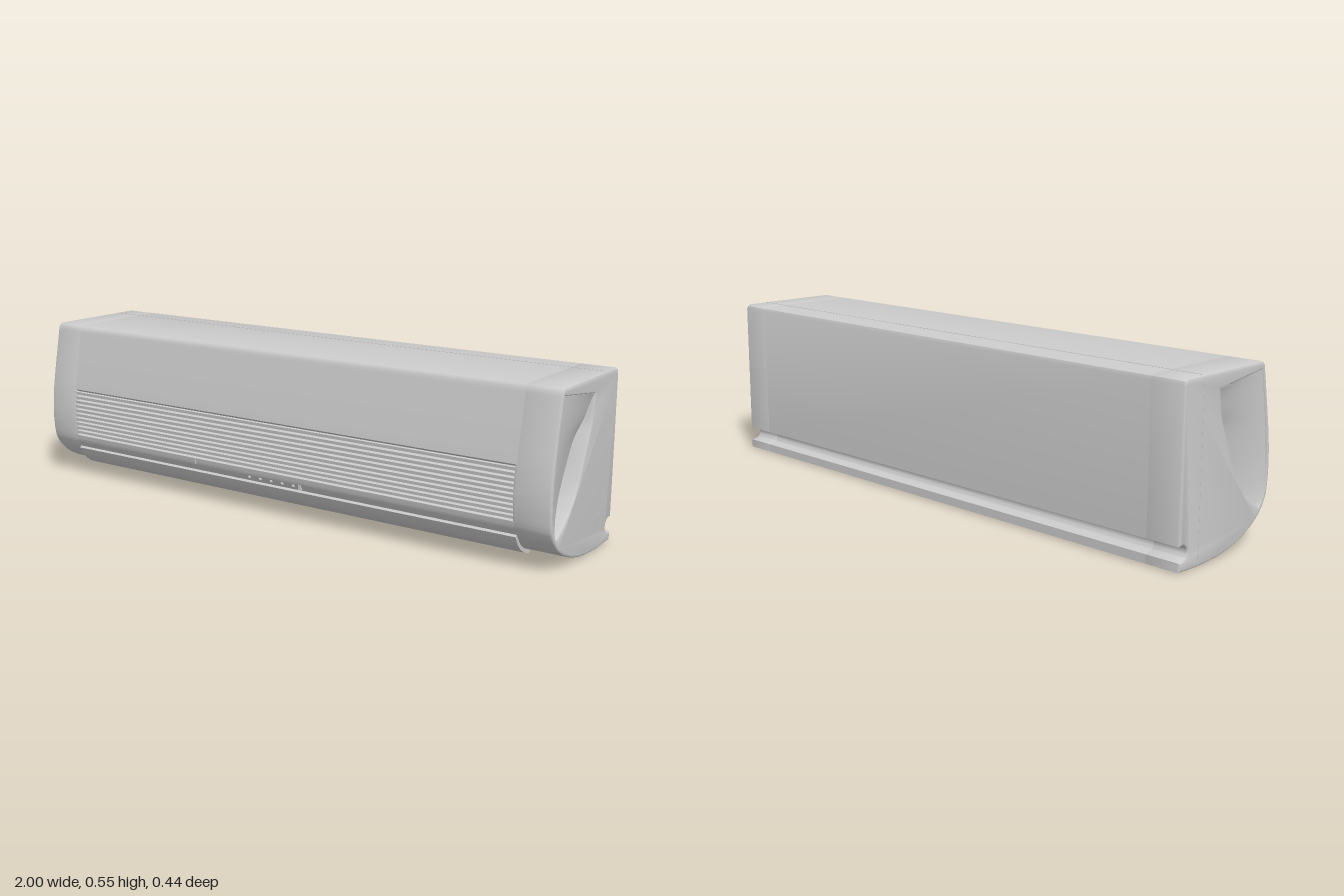
import * as THREE from 'three';
import { toCreasedNormals } from 'three/addons/utils/BufferGeometryUtils.js';

const grey = new THREE.MeshStandardMaterial({ color: 0xcccccc });
const greyDouble = new THREE.MeshStandardMaterial({ color: 0xcccccc, side: THREE.DoubleSide });

const GRILLE_X = 0.885, GRILLE_LOW = 0.16, GRILLE_HIGH = 0.32, BEVEL = 0.007;

// Profiles are lists of [z, y]; shapes use -z so that they can be turned to run along x.
const toV2 = ([z, y]) => new THREE.Vector2(-z, y);
const smooth = (pts, n) => new THREE.SplineCurve(pts.map((p) => new THREE.Vector2(...p)))
  .getPoints(n).map((v) => [v.x, v.y]);

// Front and underside, from the top edge down to the rear foot
const frontCurve = smooth([
  [0.175, 0.53], [0.2, 0.4], [0.215, 0.31], [0.221, 0.225], [0.215, 0.15], [0.2, 0.115],
  [0.182, 0.092], [0.155, 0.068], [0.11, 0.043], [0.047, 0.02], [-0.023, 0.006], [-0.09, 0.001],
], 90);

// Pipe channel along the back
const channel = [];
for (let i = 0; i <= 10; i++) {
  const a = -Math.PI / 2 + (i / 10) * Math.PI;
  channel.push([-0.206 + 0.024 * Math.cos(a), 0.057 + 0.023 * Math.sin(a)]);
}
const profile = [
  [-0.219, 0.535], [-0.215, 0.546], [-0.205, 0.552],
  [0.155, 0.552], [0.165, 0.549], [0.172, 0.542],
  ...frontCurve,
  [-0.13, 0.0], [-0.219, 0.004], [-0.219, 0.032],
  ...channel,
  [-0.219, 0.079],
];

// Depth of the front face at a given height
function frontZ(y) {
  let i = 1;
  while (i < frontCurve.length - 1 && frontCurve[i][1] > y) i++;
  const [a, b] = [frontCurve[i - 1], frontCurve[i]];
  return a[0] + (b[0] - a[0]) * (a[1] - y) / (a[1] - b[1]);
}

// Extrude a profile along x, centred on x = 0
function extrudeX(points, length, { hole, bevel = 0 } = {}) {
  const shape = new THREE.Shape(points.map(toV2));
  if (hole) shape.holes.push(new THREE.Path(hole.map(toV2)));
  const geo = new THREE.ExtrudeGeometry(shape, {
    depth: length - 2 * bevel, bevelEnabled: bevel > 0, bevelThickness: bevel,
    bevelSize: bevel, bevelOffset: -bevel, bevelSegments: 3,
  });
  geo.translate(0, 0, -(length - 2 * bevel) / 2).rotateY(Math.PI / 2);
  return toCreasedNormals(geo, 0.6);
}

function add(group, name, geo, material = grey) {
  const mesh = new THREE.Mesh(geo, material);
  mesh.name = name;
  group.add(mesh);
  return mesh;
}

// Outline of the scoop in the side: curved rear edge and front edge, both top to bottom
const STEPS = 28;
const scoopRear = smooth([[-0.05, 0.5], [-0.036, 0.42], [-0.012, 0.36], [0.036, 0.25],
  [0.08, 0.185], [0.13, 0.138], [0.175, 0.11]], STEPS);
const scoopFront = smooth([[0.16, 0.528], [0.182, 0.42], [0.198, 0.32], [0.204, 0.24],
  [0.2, 0.165], [0.183, 0.118]], STEPS);

// Scoop floor: level with the side at the front, sunk along the rear edge
function scoopFloor() {
  const pos = [], index = [], across = 6;
  for (let i = 0; i <= STEPS; i++) {
    const t = i / STEPS, [rz, ry] = scoopRear[i], [fz, fy] = scoopFront[i];
    for (let j = 0; j <= across; j++) {
      const u = -0.04 + 1.08 * j / across;
      const depth = 0.003 + 0.05 * Math.sin(Math.PI * t) * Math.max(0, u);
      pos.push(1 - depth, fy + (ry - fy) * u, fz + (rz - fz) * u);
      if (i < STEPS && j < across) {
        const a = i * (across + 1) + j, b = a + across + 1;
        index.push(a, b, a + 1, b, b + 1, a + 1);
      }
    }
  }
  const geo = new THREE.BufferGeometry();
  geo.setAttribute('position', new THREE.Float32BufferAttribute(pos, 3));
  geo.setIndex(index);
  geo.computeVertexNormals();
  return geo;
}

export function createModel() {
  const model = new THREE.Group();
  model.name = 'wallAirConditioner';

  // Middle of the casing, sunk behind the grille
  const sunk = profile.map(([z, y]) =>
    (z > 0 && y > GRILLE_LOW && y < GRILLE_HIGH ? [z - 0.014, y] : [z, y]));
  add(model, 'casing', extrudeX(sunk, 2 * GRILLE_X));

  // Rounded end caps with a scoop in each side
  const capStart = GRILLE_X - BEVEL, capLength = 1 - capStart;
  const capGeo = extrudeX(profile, capLength, {
    hole: [...scoopRear, ...[...scoopFront].reverse()], bevel: BEVEL,
  });
  const floorGeo = scoopFloor();
  for (const side of [1, -1]) {
    const name = side > 0 ? 'left' : 'right';
    add(model, name + 'EndCap', capGeo).position.x = side * (capStart + capLength / 2);
    add(model, name + 'Scoop', floorGeo, greyDouble).scale.x = side;
  }

  // Grille slats following the front face
  const grille = new THREE.Group();
  grille.name = 'grille';
  const slats = 10, pitch = (GRILLE_HIGH - GRILLE_LOW) / slats;
  const slatGeo = new THREE.BoxGeometry(2 * GRILLE_X, pitch * 0.6, 0.016);
  for (let i = 0; i < slats; i++) {
    const y = GRILLE_LOW + (i + 0.5) * pitch;
    const slat = add(grille, 'slat', slatGeo);
    slat.position.set(0, y, frontZ(y) - 0.009);
    slat.rotation.x = 0.15;
  }
  model.add(grille);

  // Curved air flap under the grille
  const flapOuter = smooth([[0.203, 0.104], [0.191, 0.082], [0.173, 0.061], [0.143, 0.041], [0.11, 0.029]], 16);
  const flapInner = flapOuter.map(([z, y]) => [z - 0.008, y + 0.008]).reverse();
  add(model, 'airFlap', extrudeX([...flapOuter, ...flapInner], 2 * GRILLE_X));

  // Indicator lights and small marks
  const lightGeo = new THREE.SphereGeometry(0.006, 12, 8);
  for (const x of [-0.09, -0.045, 0, 0.045, 0.09]) {
    add(model, 'indicatorLight', lightGeo).position.set(x, 0.124, frontZ(0.124));
  }
  add(model, 'receiver', new THREE.BoxGeometry(0.01, 0.018, 0.012)).position.set(0.117, 0.124, frontZ(0.124));
  add(model, 'catch', new THREE.BoxGeometry(0.004, 0.02, 0.004)).position.set(-0.318, 0.145, frontZ(0.145));

  // Hairline seam between front cover and back plate
  const seam = new THREE.Group();
  seam.name = 'seam';
  add(seam, 'topSeam', new THREE.BoxGeometry(1.985, 0.002, 0.002)).position.set(0, 0.552, -0.13);
  add(seam, 'bottomSeam', new THREE.BoxGeometry(1.985, 0.002, 0.002)).position.set(0, 0.001, -0.13);
  for (const side of [1, -1]) {
    add(seam, 'sideSeam', new THREE.BoxGeometry(0.002, 0.538, 0.002)).position.set(side * 0.9995, 0.276, -0.13);
  }
  model.add(seam);
  return model;
}
